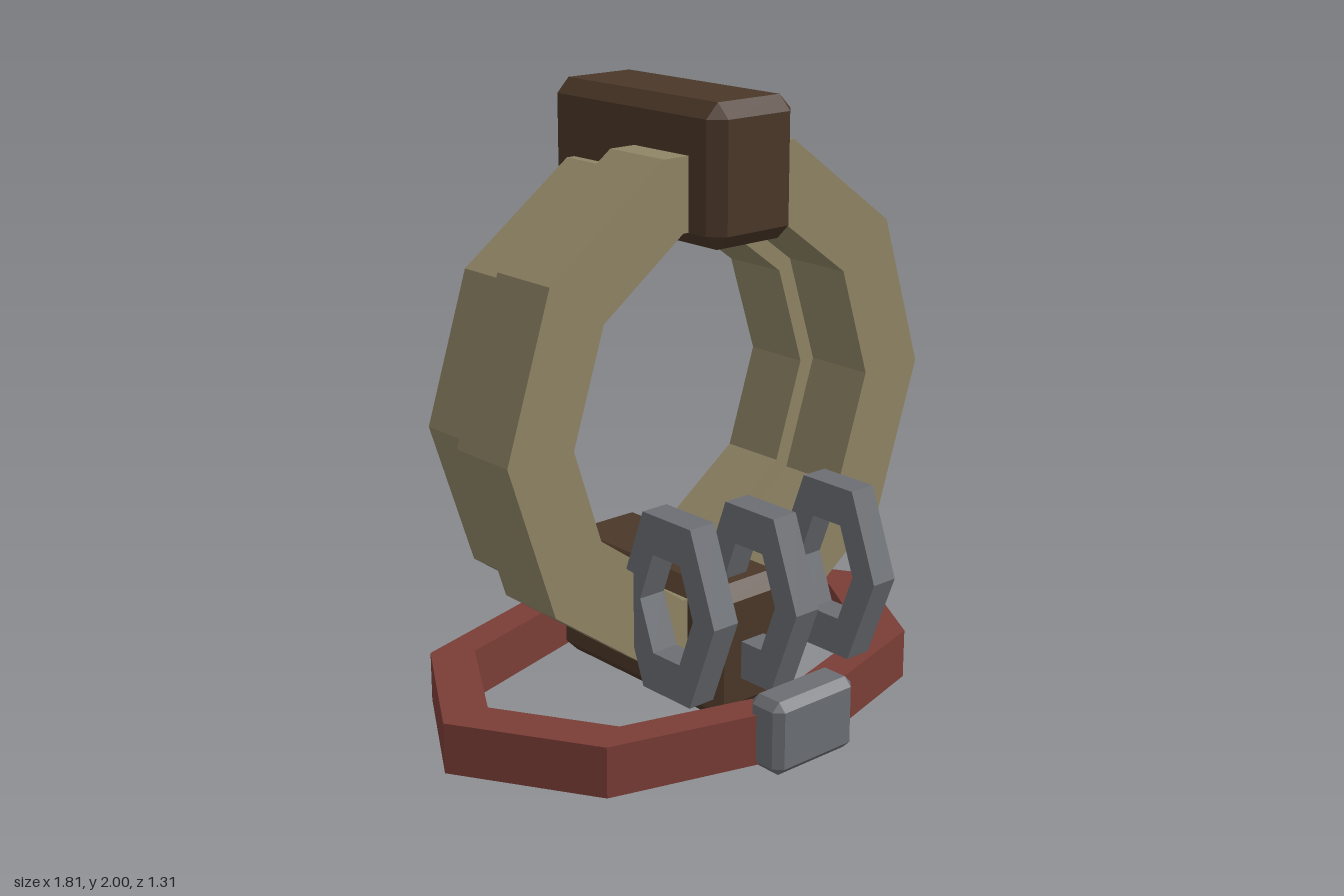
import * as THREE from 'three';
import { ConvexGeometry } from 'three/addons/geometries/ConvexGeometry.js';

const material = (name, color) => {
  const m = new THREE.MeshStandardMaterial({ color });
  m.name = name;
  return m;
};

// Corners of a polygon with the first corner on the +x axis
function polygon(sides, rx, ry) {
  return Array.from({ length: sides }, (_, i) => {
    const a = (i / sides) * Math.PI * 2;
    return new THREE.Vector2(Math.cos(a) * rx, Math.sin(a) * ry);
  });
}

// Flat-sided ring around the z axis, centred on the origin
function ringGeometry(sides, rx, ry, innerX, innerY, depth) {
  const shape = new THREE.Shape(polygon(sides, rx, ry));
  shape.holes.push(new THREE.Path(polygon(sides, innerX, innerY)));
  return new THREE.ExtrudeGeometry(shape, { depth, bevelEnabled: false }).translate(0, 0, -depth / 2);
}

// Box with every edge and corner cut by c
function chamferBox(w, h, d, c) {
  const points = [];
  for (const x of [-1, 1]) for (const y of [-1, 1]) for (const z of [-1, 1]) {
    const p = [x * w / 2, y * h / 2, z * d / 2];
    points.push(
      new THREE.Vector3(p[0], p[1] - y * c, p[2] - z * c),
      new THREE.Vector3(p[0] - x * c, p[1], p[2] - z * c),
      new THREE.Vector3(p[0] - x * c, p[1] - y * c, p[2]),
    );
  }
  return new ConvexGeometry(points);
}

export function createModel() {
  const model = new THREE.Group();
  model.name = 'ringStack';
  const tan = material('tan', 0x8f8465);
  const brown = material('darkBrown', 0x4a3728);
  const red = material('darkRed', 0x7a3d36);
  const gray = material('steelGray', 0x6b6e73);

  const add = (name, geometry, mat, x, y, z) => {
    const mesh = new THREE.Mesh(geometry, mat);
    mesh.name = name;
    mesh.position.set(x, y, z);
    model.add(mesh);
  };

  // Two upright ten-sided rings
  add('frontRing', ringGeometry(10, 0.843, 0.843, 0.605, 0.605, 0.24), tan, 0, 1.04, 0.125);
  add('backRing', ringGeometry(10, 0.79, 0.79, 0.555, 0.555, 0.23), tan, 0.047, 1.018, -0.165);

  // Blocks clamping the rings at top and bottom
  for (const [name, y] of [['topBlock', 1.785], ['bottomBlock', 0.295]]) {
    add(name, chamferBox(0.335, 0.43, 0.77, 0.045), brown, 0, y, -0.02);
  }

  // Oval eight-sided band lying on the ground, with its buckle
  const band = ringGeometry(8, 0.905, 0.63, 0.74, 0.515, 0.165).rotateX(-Math.PI / 2);
  add('baseBand', band, red, 0, 0.1, -0.025);
  add('buckle', chamferBox(0.335, 0.24, 0.14, 0.027), gray, 0, 0.122, 0.583);

  // Three narrow six-sided links in front
  const link = ringGeometry(6, 0.21, 0.325, 0.118, 0.182, 0.094).rotateY(Math.PI / 2);
  [[-0.338, 0.535], [-0.004, 0.485], [0.333, 0.493]].forEach(([x, y], i) => {
    add('link' + (i + 1), link, gray, x, y, 0.393);
  });

  return model;
}
